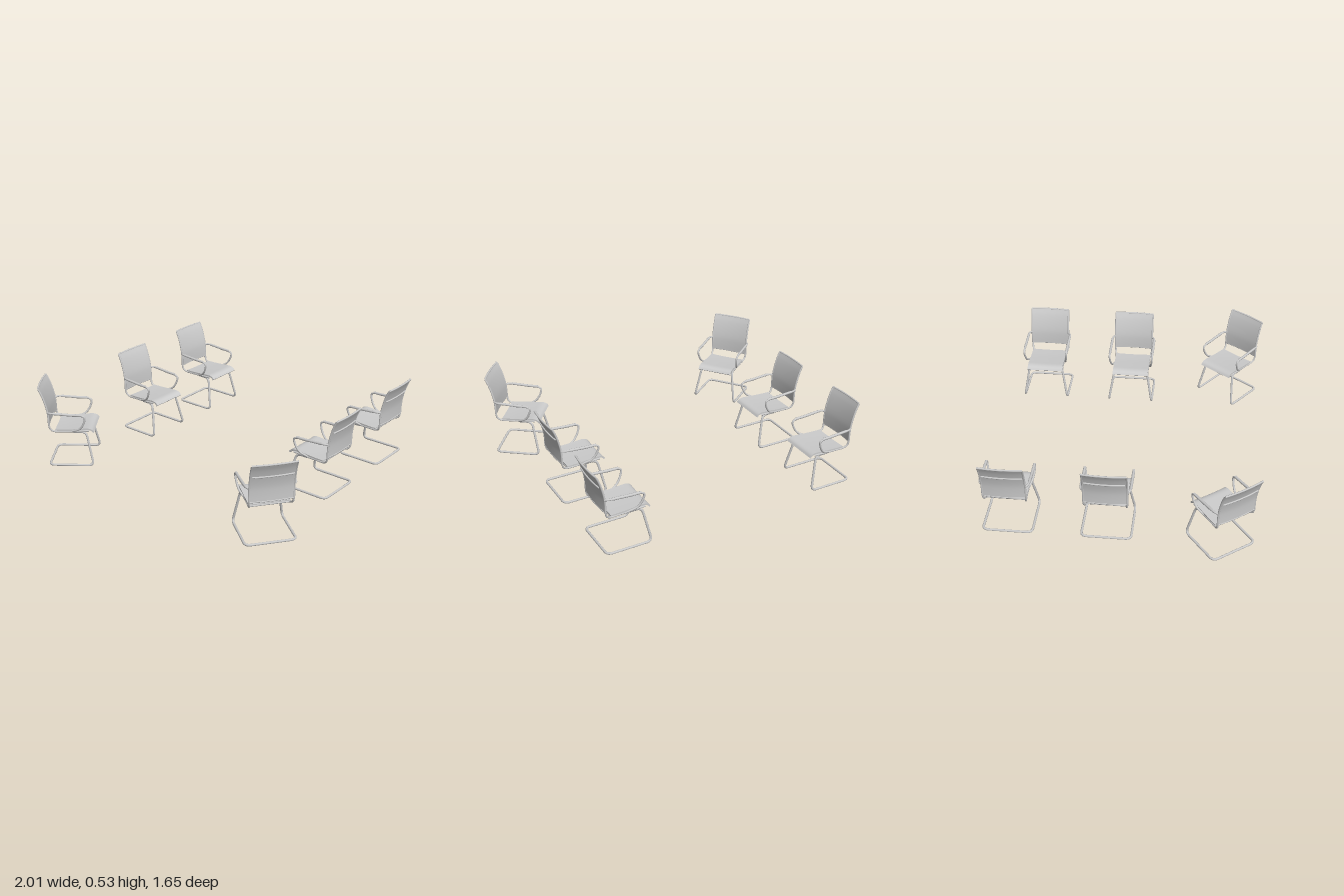
import * as THREE from 'three';

const material = new THREE.MeshStandardMaterial({ color: 0xcccccc });
const V = (x, y, z) => new THREE.Vector3(x, y, z);
const mirrorX = (p) => V(-p.x, p.y, p.z);

// Straight runs joined by rounded bends of the given radius
function bentPath(points, radius) {
  const path = new THREE.CurvePath();
  let from = points[0];
  for (let i = 1; i < points.length - 1; i++) {
    const p = points[i];
    const toward = (q) => p.clone().lerp(q, Math.min(0.48, radius / p.distanceTo(q)));
    const a = toward(points[i - 1]);
    const b = toward(points[i + 1]);
    path.add(new THREE.LineCurve3(from, a));
    path.add(new THREE.QuadraticBezierCurve3(a, p, b));
    from = b;
  }
  path.add(new THREE.LineCurve3(from, points[points.length - 1]));
  return path;
}

const tube = (curve, radius, segments) => new THREE.TubeGeometry(curve, segments, radius, 8, false);
const smooth = (points) => new THREE.CatmullRomCurve3(points);

// Thin panel swept along a side profile, with its middle bowed away from the sitter
function panel(width, thickness, profile, bow) {
  const geometry = new THREE.BoxGeometry(width, 1, thickness, 10, 20, 1);
  const pos = geometry.attributes.position;
  for (let i = 0; i < pos.count; i++) {
    const t = pos.getY(i) + 0.5;
    const x = pos.getX(i);
    const point = profile.getPoint(t);
    const tangent = profile.getTangent(t);
    const offset = pos.getZ(i) - bow * (1 - (2 * x / width) ** 2);
    pos.setXYZ(i, x, point.y - tangent.z * offset, point.z + tangent.y * offset);
  }
  geometry.computeVertexNormals();
  return geometry;
}

// Side profiles of the back (bottom to top) and the seat (front to rear)
const backPoints = [V(0, 0.272, -0.11), V(0, 0.32, -0.111), V(0, 0.37, -0.115),
  V(0, 0.43, -0.128), V(0, 0.485, -0.146), V(0, 0.522, -0.163)];
const seatPoints = [V(0, 0.226, 0.171), V(0, 0.24, 0.158), V(0, 0.247, 0.135),
  V(0, 0.245, 0.09), V(0, 0.239, 0), V(0, 0.237, -0.075)];

// Slightly bowed bar across the back
const crossBar = (half, y, z, bow) =>
  smooth([V(-half, y, z), V(-half / 2, y, z - bow * 0.75), V(0, y, z - bow),
    V(half / 2, y, z - bow * 0.75), V(half, y, z)]);

function partGeometries() {
  const parts = [];
  const add = (name, geometry) => parts.push([name, geometry]);

  add('backPanel', panel(0.256, 0.007, smooth(backPoints), 0.008));
  add('seatPanel', panel(0.242, 0.01, smooth(seatPoints), 0.003));

  // Cantilever base: one tube from rail to floor, round the rear and back up
  const half = [V(0.113, 0.226, 0.04), V(0.113, 0.226, 0.122), V(0.15, 0.0075, 0.166), V(0.15, 0.0075, -0.118)];
  add('sledBase', tube(bentPath([...half, ...half.slice().reverse().map(mirrorX)], 0.035), 0.0075, 160));

  // Bars across the back and beneath the seat
  add('topBar', tube(crossBar(0.131, 0.521, -0.164, 0.008), 0.006, 16));
  add('bottomBar', tube(crossBar(0.128, 0.274, -0.111, 0.008), 0.005, 16));
  add('backBrace', tube(crossBar(0.12, 0.438, -0.138, 0.008), 0.005, 16));
  add('rearSeatBar', tube(new THREE.LineCurve3(V(-0.118, 0.229, -0.072), V(0.118, 0.229, -0.072)), 0.006, 1));
  add('frontSeatBar', tube(new THREE.LineCurve3(V(-0.113, 0.228, 0.11), V(0.113, 0.228, 0.11)), 0.006, 1));

  for (const [side, s] of [['left', 1], ['right', -1]]) {
    const at = (x, y, z) => V(s * x, y, z);

    // Upright that turns forward to become the seat rail
    const upright = backPoints.slice().reverse().map((p) => at(0.129, p.y, p.z));
    add(side + 'SideFrame', tube(smooth([...upright, at(0.126, 0.245, -0.102),
      at(0.121, 0.231, -0.08), at(0.118, 0.229, -0.04), at(0.118, 0.231, 0.05), at(0.118, 0.235, 0.14)]), 0.006, 60));

    // Arm loop from upright to seat rail, with a thicker pad on top
    add(side + 'Arm', tube(smooth([at(0.129, 0.36, -0.115), at(0.143, 0.363, -0.095), at(0.146, 0.36, -0.04),
      at(0.146, 0.352, 0.04), at(0.146, 0.35, 0.1), at(0.146, 0.338, 0.122), at(0.142, 0.295, 0.113),
      at(0.134, 0.255, 0.085), at(0.119, 0.232, 0.035)]), 0.0065, 60));
    add(side + 'ArmPad', tube(smooth([at(0.146, 0.363, -0.075), at(0.146, 0.36, -0.03),
      at(0.146, 0.355, 0.04), at(0.146, 0.353, 0.105)]), 0.0085, 16));
  }
  return parts;
}

export function createModel() {
  const group = new THREE.Group();
  group.name = 'conferenceChairs';
  const parts = partGeometries();

  // x, z and heading in degrees of each chair
  const places = [
    [-0.725, -0.672, 90], [-0.725, -0.077, 90], [-0.793, 0.615, 127],
    [0.719, -0.665, -90], [0.719, -0.07, -90], [0.79, 0.615, -127],
  ];
  places.forEach(([x, z, heading], i) => {
    const chair = new THREE.Group();
    chair.name = 'chair' + (i + 1);
    for (const [name, geometry] of parts) {
      const mesh = new THREE.Mesh(geometry, material);
      mesh.name = name;
      chair.add(mesh);
    }
    chair.position.set(x, 0, z);
    chair.rotation.y = THREE.MathUtils.degToRad(heading);
    group.add(chair);
  });
  return group;
}
